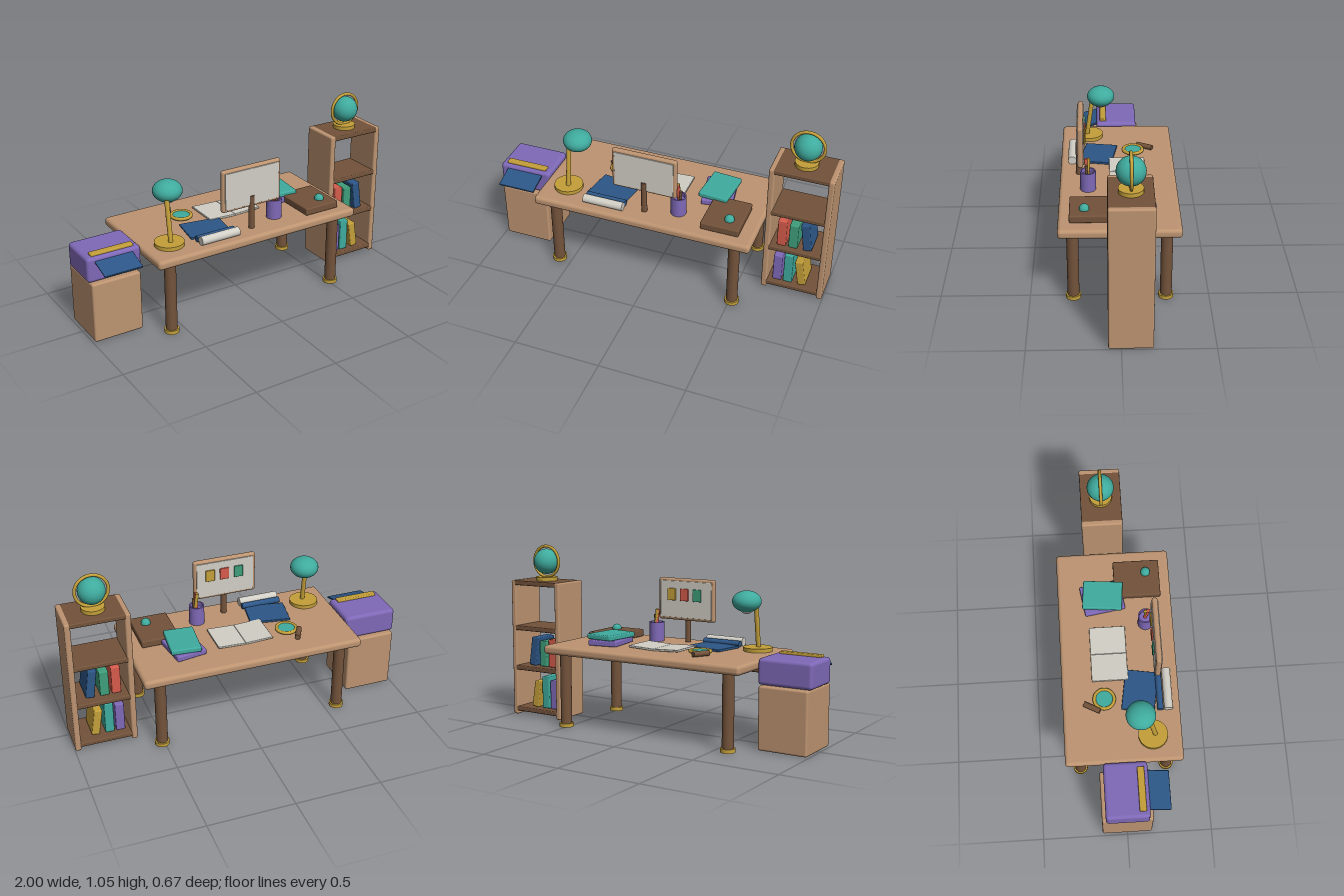
import * as THREE from 'three';
import { RoundedBoxGeometry } from 'three/addons/geometries/RoundedBoxGeometry.js';

const COLORS = {
  tanWood: 0xbd9471, darkWood: 0x73533b, teal: 0x3fab9e, purple: 0x7f69b8, gold: 0xc4a03a,
  blue: 0x2d5788, paper: 0xd2cfc6, red: 0xd65c4c, green: 0x3f9f7c,
};

export function createModel() {
  const root = new THREE.Group();
  root.name = 'officeDeskSet';
  const M = {};
  for (const [name, color] of Object.entries(COLORS)) {
    M[name] = new THREE.MeshStandardMaterial({ color });
    M[name].name = name;
  }

  function group(name) {
    const g = new THREE.Group();
    g.name = name;
    root.add(g);
    return g;
  }
  function add(parent, name, geo, mat, pos, rot = [0, 0, 0]) {
    const m = new THREE.Mesh(geo, M[mat]);
    m.name = name;
    m.position.set(...pos);
    m.rotation.set(...rot);
    parent.add(m);
    return m;
  }
  const rbox = (w, h, d, r) => new RoundedBoxGeometry(w, h, d, 3, r);
  const cyl = (r, h, top = r) => new THREE.CylinderGeometry(top, r, h, 32);
  const ball = (r) => new THREE.SphereGeometry(r, 32, 20);
  // round bar between two points
  function rod(parent, name, a, b, r, mat) {
    const A = new THREE.Vector3(...a), B = new THREE.Vector3(...b);
    const m = add(parent, name, cyl(r, A.distanceTo(B)), mat, A.clone().add(B).multiplyScalar(0.5).toArray());
    m.quaternion.setFromUnitVectors(new THREE.Vector3(0, 1, 0), B.sub(A).normalize());
    return m;
  }

  // desk
  const TOP = 0.488;
  const desk = group('desk');
  add(desk, 'deskTop', rbox(1.3, 0.053, 0.672, 0.02), 'tanWood', [-0.03, 0.4615, 0]);
  add(desk, 'apron', rbox(1.06, 0.075, 0.048, 0.01), 'darkWood', [-0.03, 0.405, 0.159]);
  for (const x of [-0.577, 0.514]) for (const z of [-0.258, 0.258]) {
    add(desk, 'leg', cyl(0.033, 0.44), 'darkWood', [x, 0.22, z]);
    add(desk, 'legFoot', cyl(0.042, 0.022), 'gold', [x, 0.011, z]);
  }

  // cabinet with printer
  const printer = group('cabinetAndPrinter');
  add(printer, 'cabinet', rbox(0.292, 0.357, 0.294, 0.012), 'tanWood', [-0.842, 0.1785, 0]);
  add(printer, 'printerBody', rbox(0.32, 0.147, 0.25, 0.02), 'purple', [-0.84, 0.43, 0]);
  add(printer, 'printerBar', rbox(0.252, 0.018, 0.04, 0.006), 'gold', [-0.84, 0.508, 0.085]);
  add(printer, 'paperTray', rbox(0.225, 0.012, 0.16, 0.004), 'blue', [-0.842, 0.463, 0.168], [0.29, 0, 0]);

  // bookshelf
  const shelf = group('bookshelf');
  for (const x of [0.649, 0.98])
    add(shelf, 'sidePanel', rbox(0.034, 0.836, 0.238, 0.01), 'tanWood', [x, 0.418, -0.05]);
  for (const y of [0.035, 0.295, 0.543, 0.821])
    add(shelf, 'shelfBoard', rbox(0.32, 0.028, 0.236, 0.006), 'darkWood', [0.814, y, -0.05]);
  const books = [
    // colour, x, base y, width, height, lean
    ['purple', 0.718, 0.049, 0.053, 0.177, 0],
    ['teal', 0.781, 0.049, 0.053, 0.197, 0],
    ['gold', 0.853, 0.05, 0.047, 0.162, 0.16],
    ['red', 0.727, 0.309, 0.053, 0.172, 0],
    ['green', 0.795, 0.309, 0.053, 0.158, 0],
    ['blue', 0.869, 0.31, 0.05, 0.175, 0.14],
  ];
  for (const [mat, x, y, w, h, lean] of books)
    add(shelf, 'shelfBook', rbox(w, h, 0.16, 0.006), mat, [x, y + h / 2, -0.04], [0, 0, lean]);

  // globe on the bookshelf
  const globe = group('globe');
  add(globe, 'globeBase', cyl(0.066, 0.024), 'gold', [0.812, 0.846, -0.05]);
  add(globe, 'globeBall', ball(0.077), 'teal', [0.812, 0.951, -0.05]);
  add(globe, 'globeRing', new THREE.TorusGeometry(0.093, 0.009, 12, 48), 'gold', [0.812, 0.951, -0.05]);

  // monitor, its screen facing the back
  const monitor = group('monitor');
  add(monitor, 'monitorFrame', rbox(0.383, 0.25, 0.032, 0.014), 'tanWood', [-0.034, 0.743, 0.215]);
  for (const z of [0.1975, 0.2325])
    add(monitor, 'screenPanel', rbox(0.35, 0.218, 0.006, 0.002), 'paper', [-0.034, 0.743, z]);
  add(monitor, 'monitorStand', cyl(0.017, 0.2), 'darkWood', [-0.034, 0.587, 0.227]);
  ['gold', 'red', 'green'].forEach((mat, i) =>
    add(monitor, 'screenTile', rbox(0.055, 0.072, 0.009, 0.003), mat, [0.06 - i * 0.087, 0.772, 0.19]));

  // desk lamp
  const lamp = group('deskLamp');
  add(lamp, 'lampBase', cyl(0.084, 0.022), 'gold', [-0.53, TOP + 0.011, 0.17]);
  rod(lamp, 'lampPole', [-0.527, 0.5, 0.183], [-0.527, 0.77, 0.145], 0.0135, 'gold');
  add(lamp, 'lampShade', ball(0.083), 'teal', [-0.494, 0.775, 0.097]).scale.y = 0.73;
  add(lamp, 'lampBulb', ball(0.042), 'paper', [-0.492, 0.745, 0.1]);

  // pencil cup, hollow at the top
  const cup = group('pencilCup');
  const cupProfile = [[0, 0], [0.045, 0], [0.045, 0.115], [0.037, 0.115], [0.037, 0.09], [0, 0.09]];
  const cupGeo = new THREE.LatheGeometry(cupProfile.map((p) => new THREE.Vector2(...p)), 32).toNonIndexed();
  cupGeo.computeVertexNormals();
  add(cup, 'cupBody', cupGeo, 'purple', [0.153, TOP, 0.173]);
  rod(cup, 'redPencil', [0.155, 0.57, 0.168], [0.152, 0.678, 0.186], 0.01, 'red');
  rod(cup, 'goldPencil', [0.163, 0.57, 0.173], [0.148, 0.68, 0.168], 0.009, 'gold');
  rod(cup, 'brownPencil', [0.165, 0.57, 0.18], [0.17, 0.645, 0.182], 0.008, 'darkWood');

  // rolled paper and blue plan
  const plans = group('plans');
  rod(plans, 'paperRoll', [-0.388, 0.512, 0.268], [-0.148, 0.512, 0.268], 0.025, 'paper');
  rod(plans, 'planRoll', [-0.388, 0.506, 0.222], [-0.15, 0.506, 0.222], 0.018, 'blue');
  add(plans, 'planSheet', rbox(0.24, 0.014, 0.19, 0.004), 'blue', [-0.268, TOP + 0.007, 0.112], [0, -0.16, 0]);

  // open book
  const openBook = group('openBook');
  for (const s of [-1, 1])
    add(openBook, 'openPage', rbox(0.165, 0.012, 0.21, 0.003), 'paper', [-0.032 + s * 0.083, TOP + 0.009, -0.055], [0, 0, s * 0.04]);

  // magnifying glass
  const glass = group('magnifier');
  add(glass, 'magnifierRing', new THREE.TorusGeometry(0.057, 0.01, 12, 40), 'gold', [-0.307, 0.504, -0.095], [Math.PI / 2, 0, 0]);
  add(glass, 'magnifierLens', cyl(0.05, 0.008), 'teal', [-0.307, 0.504, -0.095]);
  rod(glass, 'magnifierHandle', [-0.376, 0.503, -0.122], [-0.329, 0.503, -0.212], 0.016, 'darkWood');

  // stacked books
  const stack = group('bookStack');
  add(stack, 'lowerBook', rbox(0.182, 0.034, 0.24, 0.008), 'purple', [0.318, TOP + 0.017, -0.072], [0, 0.16, 0]);
  add(stack, 'upperBook', rbox(0.174, 0.031, 0.232, 0.008), 'teal', [0.32, 0.5375, -0.07], [0, -0.09, 0]);

  // wooden box with a knob
  const box = group('keepsakeBox');
  add(box, 'boxBody', rbox(0.224, 0.044, 0.272, 0.008), 'darkWood', [0.425, TOP + 0.022, 0.138]);
  add(box, 'boxKnob', ball(0.028), 'teal', [0.46, 0.535, 0.192]);

  return root;
}
